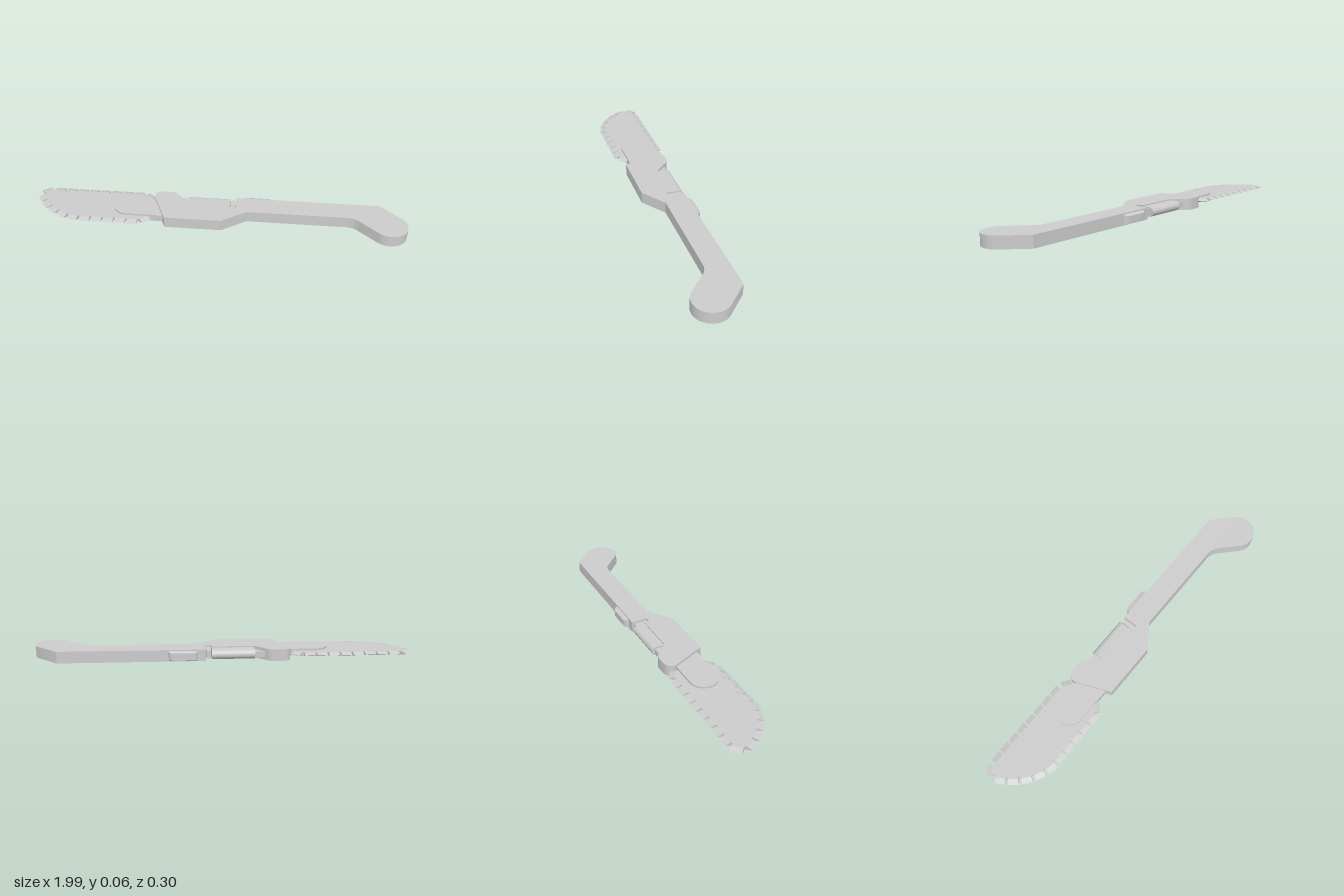
import * as THREE from 'three';
import { toCreasedNormals } from 'three/addons/utils/BufferGeometryUtils.js';

export function createModel() {
  const model = new THREE.Group();
  const material = new THREE.MeshStandardMaterial({ color: 0xcccccc });
  const midY = 0.031;

  const add = (name, geometry, parent = model) => {
    const mesh = new THREE.Mesh(geometry, material);
    mesh.name = name;
    parent.add(mesh);
    return mesh;
  };

  // A plan shape (x, -z) raised from y0 to y1
  const slab = (shape, y0, y1) => {
    const geometry = new THREE.ExtrudeGeometry(shape, { depth: y1 - y0, bevelEnabled: false, curveSegments: 20 });
    geometry.rotateX(-Math.PI / 2).translate(0, y0, 0);
    return toCreasedNormals(geometry, 0.6);
  };

  const box = (name, x0, x1, y0, y1, z0, z1) => add(name,
    new THREE.BoxGeometry(x1 - x0, y1 - y0, z1 - z0)
      .translate((x0 + x1) / 2, (y0 + y1) / 2, (z0 + z1) / 2));

  // Handle with head, motor notch and rounded pommel
  const handle = new THREE.Shape();
  handle.moveTo(-0.27, -0.1);
  handle.lineTo(0.03, -0.1);
  handle.lineTo(0.16, -0.01);
  handle.lineTo(0.69, -0.01);
  handle.quadraticCurveTo(0.73, -0.012, 0.755, -0.04);
  handle.lineTo(0.84, -0.12);
  handle.absarc(0.906, -0.055, 0.093, -2.36, 0.65, false);
  handle.lineTo(0.866, 0.112);
  handle.lineTo(0.098, 0.112);
  handle.lineTo(0.098, 0.026);
  handle.lineTo(0.066, 0.026);
  handle.lineTo(0.066, 0.053);
  handle.lineTo(-0.16, 0.053);
  handle.lineTo(-0.222, 0.115);
  handle.quadraticCurveTo(-0.238, 0.134, -0.262, 0.134);
  handle.lineTo(-0.3, 0.134);
  handle.quadraticCurveTo(-0.36, 0.13, -0.344, 0.075);
  handle.closePath();
  add('handle', slab(handle, 0, 0.062));

  // Motor housing lying in the notch, rounded on its outer side
  const profile = new THREE.Shape();
  profile.moveTo(0.04, 0.006);
  profile.lineTo(0.098, 0.006);
  profile.absarc(0.096, midY, 0.025, -Math.PI / 2, Math.PI / 2, false);
  profile.lineTo(0.04, 0.056);
  profile.closePath();
  const motor = new THREE.ExtrudeGeometry(profile, { depth: 0.225, bevelEnabled: false, curveSegments: 16 });
  // profile (-z, y) swept along x
  motor.rotateY(Math.PI / 2).translate(-0.16, 0, 0);
  add('motorHousing', toCreasedNormals(motor, 0.6));
  box('motorEndPlate', 0.07, 0.094, 0.01, 0.052, -0.102, -0.02);
  box('driveShaft', -0.215, -0.155, 0.016, 0.046, -0.106, -0.05);

  // Trigger, tapering towards its outer face
  const trigger = new THREE.Shape();
  trigger.moveTo(0.14, 0.1);
  trigger.lineTo(0.29, 0.1);
  trigger.lineTo(0.29, 0.118);
  trigger.quadraticCurveTo(0.285, 0.137, 0.265, 0.137);
  trigger.lineTo(0.165, 0.137);
  trigger.quadraticCurveTo(0.145, 0.137, 0.14, 0.118);
  trigger.closePath();
  const triggerGeometry = slab(trigger, 0.006, 0.056);
  const p = triggerGeometry.attributes.position;
  for (let i = 0; i < p.count; i++) {
    const t = Math.max(0, (-p.getZ(i) - 0.118) / 0.019);
    p.setY(i, midY + (p.getY(i) - midY) * (1 - 0.28 * t));
  }
  add('trigger', toCreasedNormals(triggerGeometry, 0.6));

  // Blade mount, a tongue reaching out of the head
  const tongue = new THREE.Shape();
  tongue.moveTo(-0.26, 0.07);
  tongue.lineTo(-0.37, 0.082);
  tongue.lineTo(-0.48, 0.082);
  tongue.absarc(-0.48, 0.007, 0.075, Math.PI / 2, Math.PI * 1.5, false);
  tongue.lineTo(-0.37, -0.068);
  tongue.lineTo(-0.26, -0.07);
  tongue.closePath();
  add('bladeMount', slab(tongue, 0.012, 0.05));

  // Blade core; its rim also guides the teeth
  const blade = new THREE.Group();
  blade.name = 'blade';
  model.add(blade);
  const rim = new THREE.Shape();
  rim.moveTo(-0.362, -0.055);
  rim.lineTo(-0.408, -0.098);
  rim.lineTo(-0.735, -0.098);
  rim.bezierCurveTo(-0.83, -0.09, -0.92, -0.02, -0.965, 0.075);
  rim.quadraticCurveTo(-0.97, 0.11, -0.935, 0.122);
  rim.lineTo(-0.405, 0.122);
  rim.lineTo(-0.362, 0.088);
  add('bladeCore', slab(rim, midY - 0.009, midY + 0.009), blade);

  // Wedge teeth spaced along the rim
  const wedge = new THREE.Shape([
    new THREE.Vector2(-0.012, -0.0095),
    new THREE.Vector2(0.004, -0.0095),
    new THREE.Vector2(0.032, 0),
    new THREE.Vector2(0.004, 0.0095),
    new THREE.Vector2(-0.012, 0.0095),
  ]);
  const toothGeometry = new THREE.ExtrudeGeometry(wedge, { depth: 0.053, bevelEnabled: false });
  toothGeometry.translate(0, 0, -0.0265);
  const up = new THREE.Vector3(0, 1, 0);
  const count = 21;
  for (let i = 0; i < count; i++) {
    const t = (i + 0.5) / count;
    const point = rim.getPoint(t);
    const tangent = rim.getTangent(t);
    const outward = new THREE.Vector3(-tangent.y, 0, -tangent.x);
    const along = outward.clone().cross(up);
    const tooth = add('bladeTooth', toothGeometry, blade);
    tooth.quaternion.setFromRotationMatrix(new THREE.Matrix4().makeBasis(outward, up, along));
    tooth.position.set(point.x, midY, -point.y);
  }
  return model;
}
